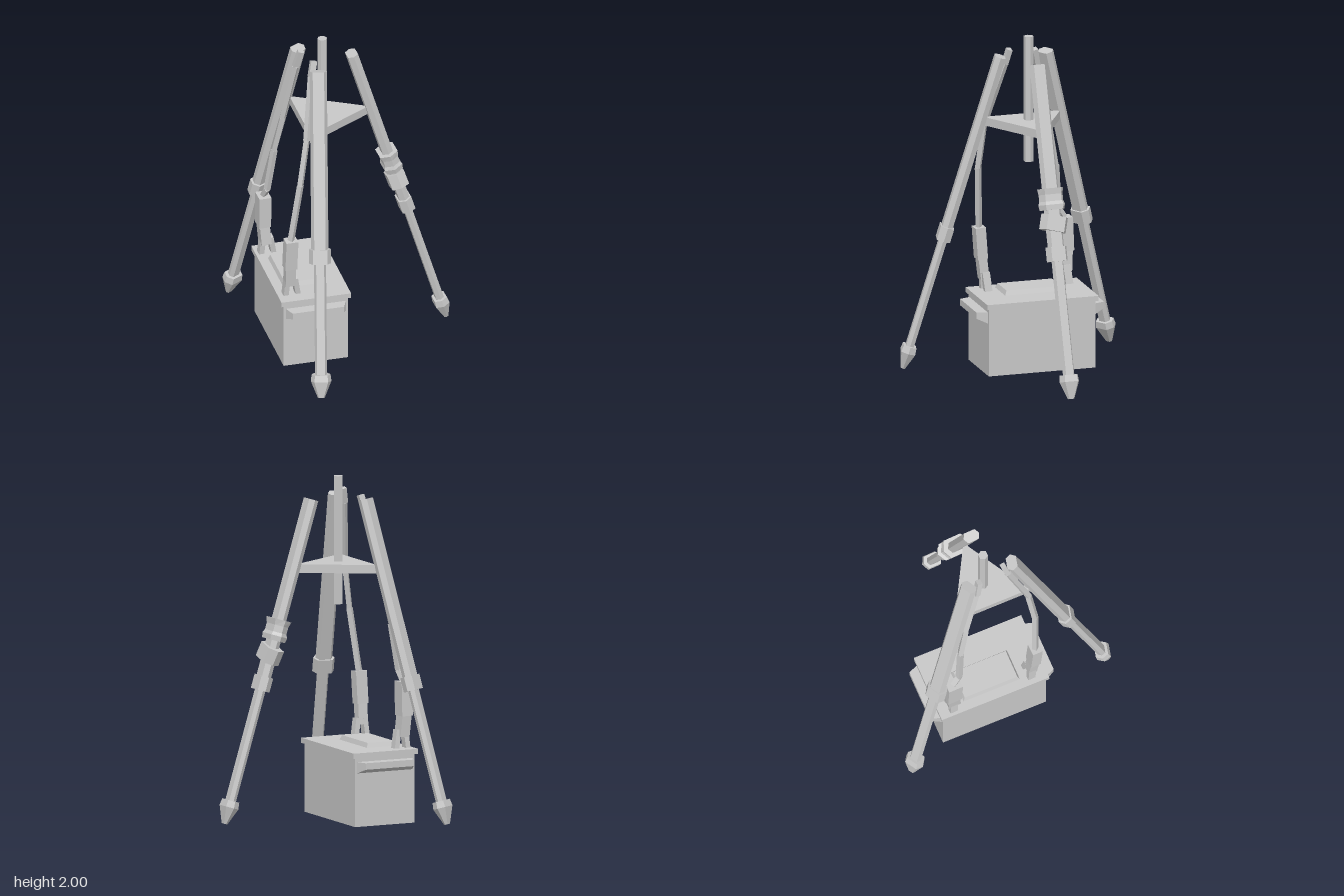
import * as THREE from 'three';

const steel = new THREE.MeshStandardMaterial({ color: 0xc8c8c8 });
steel.name = 'plain grey';

const V = (x, y, z) => new THREE.Vector3(x, y, z);

function add(parent, name, geometry) {
  const g = geometry.index ? geometry.toNonIndexed() : geometry;
  g.computeVertexNormals(); // faceted look
  const mesh = new THREE.Mesh(g, steel);
  mesh.name = name;
  parent.add(mesh);
  return mesh;
}

// Flattened hexagonal bar along y; sections are [y, halfWidth, halfDepth] from bottom to top
function hexBar(sections) {
  const n = sections.length - 1;
  const g = new THREE.CylinderGeometry(1, 1, 1, 6, n, false, Math.PI / 2);
  const p = g.attributes.position;
  for (let i = 0; i < p.count; i++) {
    const [y, w, t] = sections[Math.round((p.getY(i) + 0.5) * n)];
    const x = p.getX(i), z = p.getZ(i);
    const k = Math.abs(x) > 0.9 ? 1 : Math.abs(x) > 0.1 ? 0.66 : 0;
    p.setXYZ(i, Math.sign(x) * k * w, y, Math.abs(z) > 0.1 ? Math.sign(z) * t : 0);
  }
  return g;
}

// Square bar between two points
function beam(parent, name, a, b, w, d) {
  const dir = b.clone().sub(a);
  const mesh = add(parent, name, new THREE.BoxGeometry(w, dir.length(), d));
  mesh.position.copy(a).add(b).multiplyScalar(0.5);
  mesh.quaternion.setFromUnitVectors(V(0, 1, 0), dir.normalize());
  return mesh;
}

// Telescopic leg: local y runs up the leg, local z faces outward
function makeLeg(name, foot, top) {
  const leg = new THREE.Group();
  leg.name = name;
  const axis = top.clone().sub(foot), L = axis.length();
  axis.normalize();
  const out = V(foot.x - top.x, 0, foot.z - top.z);
  out.addScaledVector(axis, -out.dot(axis)).normalize();
  const side = axis.clone().cross(out);
  leg.quaternion.setFromRotationMatrix(new THREE.Matrix4().makeBasis(side, axis, out));
  leg.position.copy(foot);
  add(leg, 'upperTube', hexBar([[0.83, 0.05, 0.031], [L, 0.05, 0.031]]));
  add(leg, 'lowerTube', hexBar([[0.1, 0.035, 0.023], [0.85, 0.035, 0.023]]));
  add(leg, 'legCollar', hexBar([[0.8, 0.064, 0.04], [0.885, 0.064, 0.04]]));
  add(leg, 'footSpike', hexBar([[0, 0.02, 0.012], [0.1, 0.06, 0.042], [0.14, 0.055, 0.038]]));
  return leg;
}

// Storage chest with lid, raised panel and two end grips
function makeChest() {
  const chest = new THREE.Group();
  chest.name = 'chest';
  chest.position.set(-0.288, 0, -0.09);
  chest.rotation.y = -0.0375;
  add(chest, 'chestBody', new THREE.BoxGeometry(0.385, 0.405, 0.648)).position.y = 0.2025;
  add(chest, 'chestLid', new THREE.BoxGeometry(0.417, 0.03, 0.675)).position.y = 0.418;

  // Bevelled panel on the lid
  const panel = new THREE.BoxGeometry(0.195, 0.03, 0.355);
  const pp = panel.attributes.position;
  for (let i = 0; i < pp.count; i++) {
    if (pp.getY(i) > 0) pp.setXYZ(i, pp.getX(i) * 0.88, pp.getY(i), pp.getZ(i) * 0.93);
  }
  add(chest, 'lidPanel', panel).position.set(-0.055, 0.445, 0);

  // Grips narrow outward and slope underneath
  for (const s of [1, -1]) {
    const grip = new THREE.BoxGeometry(0.36, 1, 1);
    const p = grip.attributes.position;
    for (let i = 0; i < p.count; i++) {
      const outer = p.getZ(i) > 0;
      const y = p.getY(i) > 0 ? 0.38 : outer ? 0.342 : 0.312;
      p.setXYZ(i, p.getX(i) * (outer ? 0.86 : 1), y, outer ? 0.388 : 0.32);
    }
    add(chest, s > 0 ? 'frontGrip' : 'backGrip', grip).rotation.y = s > 0 ? 0 : Math.PI;
  }
  return chest;
}

// Strut leaning on a leg: thin bent rod, a two-piece body and a forked base
function makeStrut(name, path, bodyLow, base, width) {
  const strut = new THREE.Group();
  strut.name = name;
  for (let i = 0; i + 1 < path.length; i++) {
    beam(strut, 'strutRod', path[i], path[i + 1], 0.03, i ? 0.028 : 0.036);
  }
  const bodyTop = path[path.length - 1];
  beam(strut, 'strutBody', bodyLow, bodyTop, 0.072, width);
  beam(strut, 'strutNeck', base, bodyLow.clone().add(V(0, 0.01, 0)), 0.06, width * 0.85);
  for (const dx of [-0.024, 0.05]) {
    beam(strut, 'strutProng', V(base.x + dx, 0.43, base.z - 0.01),
      V(base.x + dx * 0.6, base.y + 0.04, base.z), 0.03, 0.045);
  }
  return strut;
}

export function createModel() {
  const model = new THREE.Group();
  model.name = 'tripodWithChest';

  // Legs
  const legA = makeLeg('leftLeg', V(0.567, 0.016, -0.022), V(-0.005, 1.874, -0.022));
  const legB = makeLeg('frontLeg', V(-0.4, 0.016, 0.665), V(-0.25, 1.874, 0.12));
  const legC = makeLeg('backLeg', V(-0.552, 0.016, -0.66), V(-0.283, 1.874, -0.17));
  model.add(legA, legB, legC);

  // Clamps on the left leg
  add(legA, 'upperClamp', hexBar([[1.1, 0.076, 0.05], [1.13, 0.082, 0.054],
    [1.15, 0.074, 0.046], [1.19, 0.074, 0.046], [1.225, 0.08, 0.055]]));
  const clamp = add(legA, 'slantedClamp', hexBar([[-0.045, 0.082, 0.052], [0.045, 0.082, 0.052]]));
  clamp.position.y = 1.02;
  clamp.rotation.z = -0.26;

  // Triangular spreader plate
  const tri = new THREE.Shape([[0.1, 0.024], [-0.305, 0.27], [-0.32, -0.2]]
    .map(([x, y]) => new THREE.Vector2(x, y)));
  const plate = add(model, 'spreaderPlate',
    new THREE.ExtrudeGeometry(tri, { depth: 0.05, bevelEnabled: false }));
  plate.rotation.x = -Math.PI / 2;
  plate.position.y = 1.45;

  // Centre post
  const post = add(model, 'centrePost',
    new THREE.CylinderGeometry(0.029, 0.029, 0.75, 6, 1, false, Math.PI / 2));
  post.position.set(-0.18, 1.625, -0.03);

  model.add(makeChest());

  // Leaning struts
  model.add(makeStrut('frontStrut',
    [V(-0.26, 1.91, 0.06), V(-0.28, 1.82, 0.08), V(-0.34, 1.46, 0.185), V(-0.385, 1.18, 0.207), V(-0.435, 0.81, 0.185)],
    V(-0.438, 0.62, 0.17), V(-0.435, 0.5, 0.155), 0.062));
  model.add(makeStrut('backStrut',
    [V(-0.285, 1.89, -0.105), V(-0.31, 1.78, -0.13), V(-0.36, 1.39, -0.225), V(-0.395, 1.15, -0.275),
      V(-0.43, 0.88, -0.3), V(-0.44, 0.82, -0.34)],
    V(-0.44, 0.62, -0.348), V(-0.43, 0.5, -0.34), 0.088));

  return model;
}
